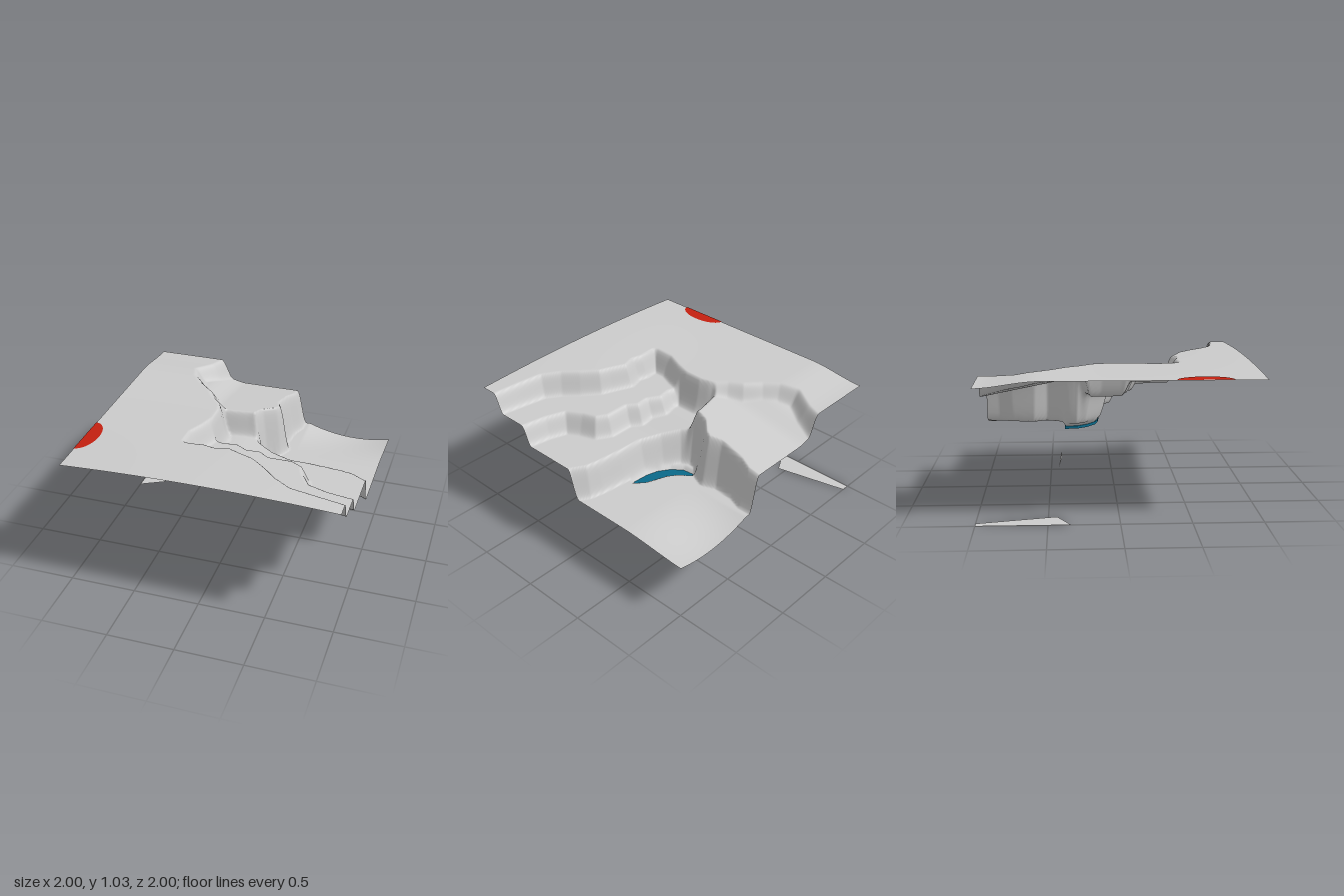
import * as THREE from 'three';

const { smoothstep, lerp, clamp } = THREE.MathUtils;
const outline = (flat) => {
  const pts = [];
  for (let i = 0; i < flat.length; i += 2) pts.push([flat[i], flat[i + 1]]);
  return pts;
};

// Outlines (x, z) of each sunken area, drawn along the middle of its slope
const upperTerrace = outline([1.3, 0.87, 1, 0.84, 0.8, 0.81, 0.62, 0.78, 0.5, 0.7, 0.4, 0.6, 0.28, 0.5, 0.2, 0.47,
  0.06, 0.41, -0.04, 0.44, -0.12, 0.42, -0.25, 0.43, -0.25, 0.3, -0.2, 0.18, -0.16, 0.05, -0.16, -0.1, -0.19, -0.21,
  0.05, -0.25, 0.3, -0.25, 1.3, -0.25]);
const lowerTerrace = outline([1.3, 0.55, 1, 0.54, 0.82, 0.51, 0.68, 0.46, 0.62, 0.36, 0.58, 0.25, 0.48, 0.19, 0.3, 0.19,
  0.22, 0.13, 0.12, 0.14, 0.02, 0.08, -0.08, 0.1, -0.15, 0.08, -0.15, -0.1, -0.18, -0.21, 0.05, -0.25, 0.3, -0.25, 1.3, -0.25]);
const highBasin = outline([-0.42, -1.3, -0.42, -1, -0.47, -0.87, -0.56, -0.72, -0.52, -0.6, -0.45, -0.5, -0.34, -0.4,
  -0.28, -0.3, -0.2, -0.21, 0, -0.23, 0.1, -0.28, 0.5, -0.4, 0.5, -1.3]);
const lowBasin = outline([1.3, 0.08, 1, 0.05, 0.9, -0.01, 0.8, -0.03, 0.6, -0.05, 0.4, -0.06, 0.25, -0.12, 0.13, -0.2,
  0.08, -0.28, 0.1, -0.36, 0.19, -0.45, 0.22, -0.52, 0.18, -0.62, 0.2, -0.8, 0.24, -0.9, 0.25, -1.3, 1.3, -1.3]);
const pool = outline([0.17, -0.38, 0.21, -0.38, 0.27, -0.3, 0.34, -0.25, 0.42, -0.22, 0.5, -0.19, 0.57, -0.13, 0.55, -0.105,
  0.42, -0.115, 0.33, -0.14, 0.24, -0.2, 0.18, -0.28]);

// Signed distance to an outline, positive inside
function inset(poly, x, z) {
  let best = Infinity, inside = false;
  for (let i = 0, j = poly.length - 1; i < poly.length; j = i++) {
    const [ax, az] = poly[j], [bx, bz] = poly[i];
    const dx = bx - ax, dz = bz - az;
    const t = clamp(((x - ax) * dx + (z - az) * dz) / (dx * dx + dz * dz), 0, 1);
    best = Math.min(best, Math.hypot(x - ax - t * dx, z - az - t * dz));
    if ((az > z) !== (bz > z) && x < ax + (z - az) * dx / dz) inside = !inside;
  }
  return inside ? best : -best;
}

// Ground height: a plateau with one area after another cut into it
function height(x, z) {
  let y = 1 + 0.028 * (1 - x * x) * smoothstep(z, -0.2, 1) - 0.045 * smoothstep(-z, 0.55, 1);
  const sink = (poly, floor, w) => {
    y = lerp(y, floor, smoothstep(inset(poly, x, z), -w, w));
  };
  sink(highBasin, 0.765 + 0.2 * (z + 1) + 0.05 * smoothstep(-x, 0.25, 0.5), 0.05);
  sink(upperTerrace, 0.85, 0.045);
  sink(lowerTerrace, 0.7 + 0.03 * smoothstep(-x, -0.3, 0.1), 0.045);
  const sag = Math.max(0, 1 - ((x - 0.72) / 0.4) ** 2);
  sink(lowBasin, 0.468 - 0.075 * sag * smoothstep(-z, 0.45, 1.05), 0.045);
  sink(pool, 0.426, 0.022);
  return y;
}

function drape(geo, lift = 0) {
  const p = geo.attributes.position;
  for (let i = 0; i < p.count; i++) p.setY(i, height(p.getX(i), p.getZ(i)) + lift);
  geo.computeVertexNormals();
  return geo;
}

export function createModel() {
  const group = new THREE.Group();
  const grey = new THREE.MeshStandardMaterial({ color: 0xcccccc, side: THREE.DoubleSide });
  const add = (name, geo, mat = grey) => {
    const mesh = new THREE.Mesh(geo, mat);
    mesh.name = name;
    group.add(mesh);
  };

  // Stepped ground
  add('terrain', drape(new THREE.PlaneGeometry(2, 2, 170, 170).rotateX(-Math.PI / 2)));

  // Pool at the foot of the cliff
  const poolShape = new THREE.Shape(pool.map(([x, z]) => new THREE.Vector2(x, -z)));
  const water = new THREE.ExtrudeGeometry(poolShape, { depth: 0.022, bevelEnabled: false });
  add('pool', water.rotateX(-Math.PI / 2).translate(0, 0.418, 0), new THREE.MeshStandardMaterial({ color: 0x0a6a8a }));

  // Red half-round patch on the plateau edge
  const patch = new THREE.CircleGeometry(1, 32, -Math.PI / 2, Math.PI).rotateX(-Math.PI / 2);
  patch.scale(0.11, 1, 0.195).translate(-1, 0, 0.575);
  add('redPatch', drape(patch, 0.004), new THREE.MeshStandardMaterial({ color: 0xc42010 }));

  // Loose flat slab lying at the bottom
  const slab = new THREE.Shape([[-1, 1], [-0.94, 1], [-0.81, 0.44], [-1, 0.34]].map(([x, y]) => new THREE.Vector2(x, y)));
  add('groundSlab', new THREE.ShapeGeometry(slab).rotateX(-Math.PI / 2));

  // Small loose sliver below the edge
  const sliver = new THREE.BufferGeometry().setFromPoints([
    new THREE.Vector3(-1, 0.53, -0.4), new THREE.Vector3(-0.992, 0.47, -0.4), new THREE.Vector3(-1, 0.41, -0.42)]);
  sliver.computeVertexNormals();
  add('sliver', sliver);
  return group;
}
